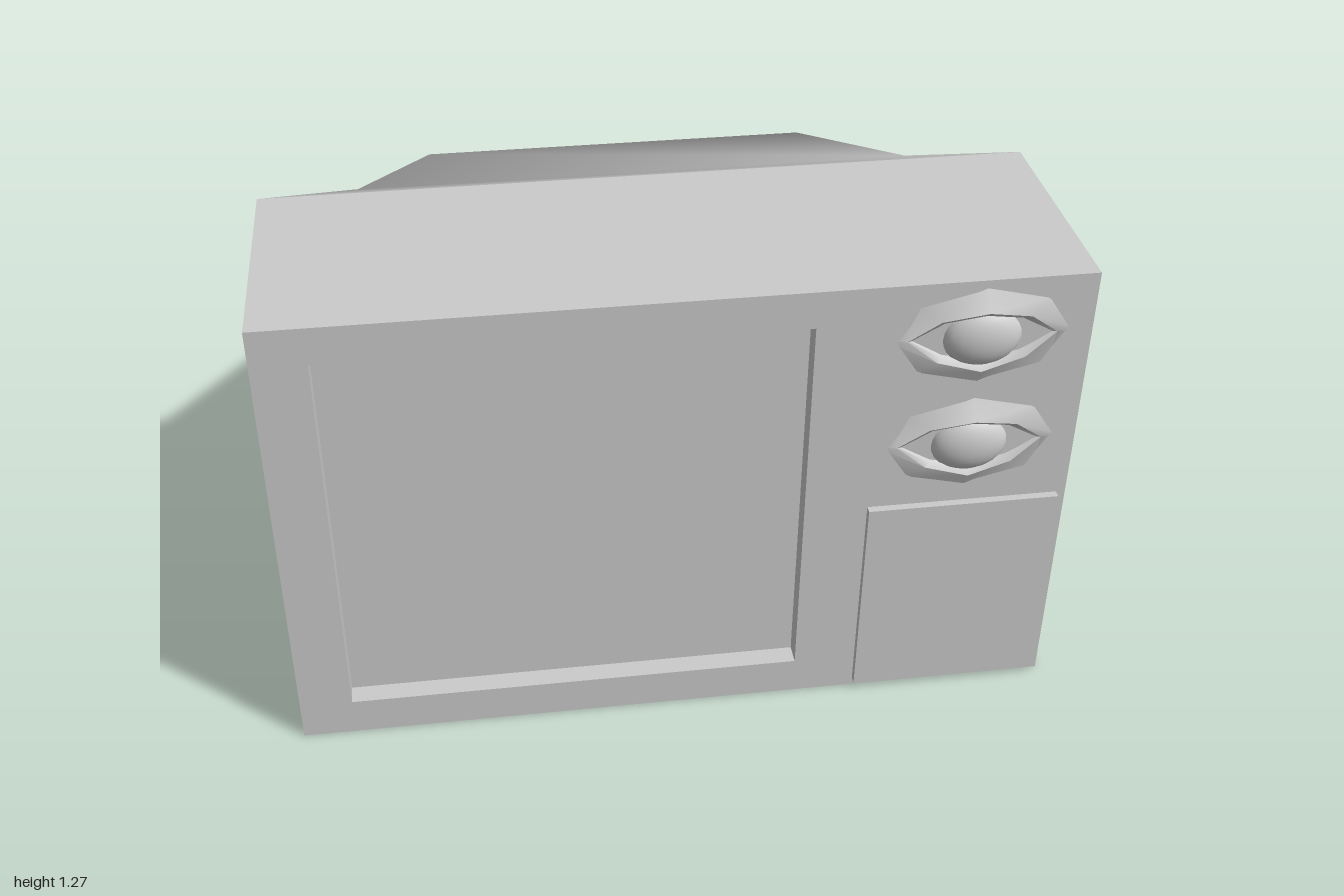
import * as THREE from 'three';
import { toCreasedNormals } from 'three/addons/utils/BufferGeometryUtils.js';

const material = new THREE.MeshStandardMaterial({ color: 0xcccccc });
const WIDTH = 2, HEIGHT = 1.27, BACK_Z = 0.03, FRONT_Z = 0.66, SCREEN_Z = 0.605;

function addMesh(parent, name, geometry, x = 0, y = 0, z = 0) {
  const mesh = new THREE.Mesh(geometry, material);
  mesh.name = name;
  mesh.position.set(x, y, z);
  parent.add(mesh);
  return mesh;
}

function indexed(positions, index) {
  const g = new THREE.BufferGeometry();
  g.setAttribute('position', new THREE.Float32BufferAttribute(positions.flat(), 3));
  g.setIndex(index);
  g.computeVertexNormals();
  return g;
}

// Front frame: a slab with the screen opening cut through it
function frameGeometry() {
  const shape = new THREE.Shape();
  shape.moveTo(-1, 0).lineTo(1, 0).lineTo(1, HEIGHT).lineTo(-1, HEIGHT).closePath();
  const hole = new THREE.Path();
  hole.moveTo(-0.865, 0.105).lineTo(-0.865, 1.17).lineTo(0.317, 1.17).lineTo(0.317, 0.105).closePath();
  shape.holes.push(hole);
  return new THREE.ExtrudeGeometry(shape, { depth: FRONT_Z - SCREEN_Z, bevelEnabled: false });
}

// Tapered back: the front ring is split per side for sharp corners, the rest is smooth
function backGeometry() {
  const ring = (x0, x1, y0, y1, z) => [[x0, y0, z], [x1, y0, z], [x1, y1, z], [x0, y1, z]];
  const front = ring(-1, 1, 0, HEIGHT, BACK_Z);
  const positions = [
    ...ring(-0.76, 0.77, 0.16, 1.13, -0.255),
    ...ring(-0.562, 0.558, 0.28, 0.995, -0.705),
  ];
  const index = [4, 7, 6, 4, 6, 5];
  for (let i = 0; i < 4; i++) {
    const j = (i + 1) % 4, a = positions.length;
    positions.push(front[i], front[j]);
    index.push(a, i, j, a, j, a + 1);
    index.push(i, i + 4, j + 4, i, j + 4, j);
  }
  return indexed(positions, index);
}

// Eye-shaped lids: octagonal rings rising to a ridge and dropping into the opening
function lidGeometry() {
  // each ring: half-width, corner x, corner y, top y, bottom y, then z at side, upper corner, top, lower corner, bottom
  const rings = [
    [0.235, 0.17, 0.098, 0.14, -0.14, 0.655, 0.655, 0.655, 0.655, 0.655],
    [0.185, 0.11, 0.06, 0.085, -0.09, 0.664, 0.682, 0.697, 0.674, 0.682],
    [0.175, 0.10, 0.05, 0.068, -0.076, 0.661, 0.671, 0.678, 0.666, 0.671],
    [0.165, 0.09, 0.04, 0.055, -0.06, 0.65, 0.65, 0.65, 0.65, 0.65],
  ];
  const positions = [], index = [];
  rings.forEach(([w, cx, cy, top, bottom, zs, zu, zt, zl, zb], r) => {
    positions.push([w, 0, zs], [cx, cy, zu], [0, top, zt], [-cx, cy, zu],
      [-w, 0, zs], [-cx, -cy, zl], [0, bottom, zb], [cx, -cy, zl]);
    if (r === 0) return;
    for (let i = 0; i < 8; i++) {
      const a = (r - 1) * 8 + i, b = (r - 1) * 8 + (i + 1) % 8;
      index.push(a, b, b + 8, a, b + 8, a + 8);
    }
  });
  return toCreasedNormals(indexed(positions, index), 0.7);
}

function createDial(name, y) {
  const dial = new THREE.Group();
  dial.name = name;
  addMesh(dial, 'lids', lidGeometry());
  const ball = new THREE.SphereGeometry(1, 20, 14);
  ball.scale(0.1, 0.08, 0.05);
  addMesh(dial, 'ball', ball, 0, -0.003, 0.65);
  dial.position.set(0.726, y, 0);
  return dial;
}

export function createModel() {
  const model = new THREE.Group();
  model.name = 'television';

  // Cabinet
  const depth = SCREEN_Z - BACK_Z;
  addMesh(model, 'cabinet', new THREE.BoxGeometry(WIDTH, HEIGHT, depth), 0, HEIGHT / 2, BACK_Z + depth / 2);
  addMesh(model, 'frontFrame', frameGeometry(), 0, 0, SCREEN_Z);
  addMesh(model, 'screen', new THREE.PlaneGeometry(1.182, 1.065), -0.274, 0.6375, SCREEN_Z + 0.001);
  addMesh(model, 'taperedBack', backGeometry());

  // Controls on the right-hand strip
  model.add(createDial('upperDial', 1.115));
  model.add(createDial('lowerDial', 0.8));
  addMesh(model, 'controlPanel', new THREE.BoxGeometry(0.496, 0.594, 0.04), 0.728, 0.32, 0.66);

  return model;
}
